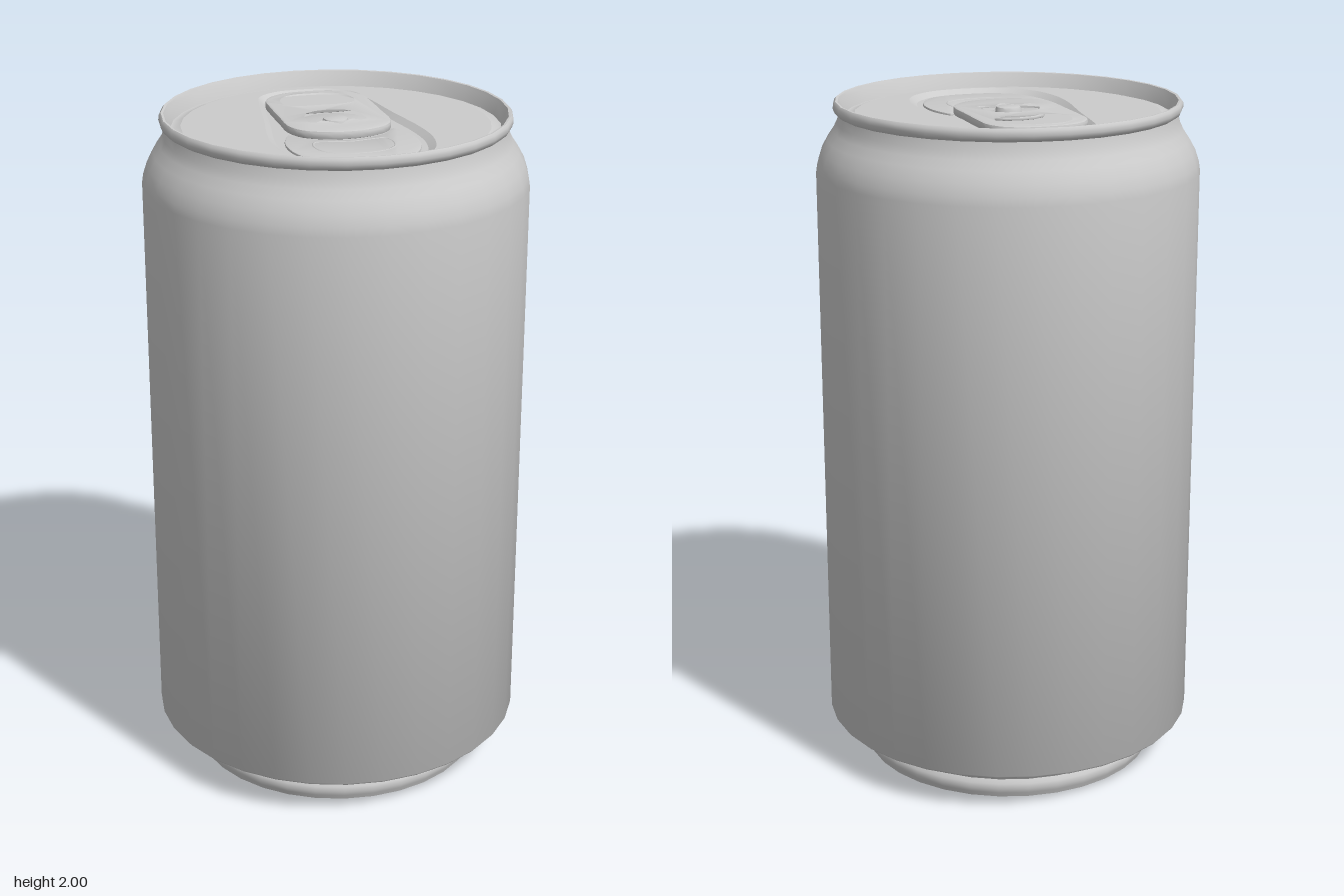
import * as THREE from 'three';
import { toCreasedNormals } from 'three/addons/utils/BufferGeometryUtils.js';

const SEGMENTS = 32;
const LID = 1.962, FLOOR = 1.948;
const material = new THREE.MeshStandardMaterial({ color: 0xcccccc });
const v2 = ([x, y]) => new THREE.Vector2(x, y);

// Mirrors half an outline (x, z), listed from back to front, into a closed loop.
const mirrored = (half) => [
  ...half,
  ...half.slice().reverse().filter(([x]) => x > 0).map(([x, z]) => [-x, z]),
];

// Smooth closed loop through a mirrored half outline, in (x, z).
function loop(half, count = 64) {
  const points = mirrored(half).map(([x, z]) => new THREE.Vector3(x, 0, z));
  const curve = new THREE.CatmullRomCurve3(points, true, 'centripetal');
  return curve.getPoints(count).slice(0, -1).map((p) => [p.x, p.z]);
}

// Shapes are drawn with -z as their y, then laid flat.
const flatPoints = (points) => points.map(([x, z]) => new THREE.Vector2(x, -z));
function shapeOf(outline, holes = []) {
  const shape = new THREE.Shape(flatPoints(outline));
  shape.holes = holes.map((h) => new THREE.Path(flatPoints(h)));
  return shape;
}

function flat(outline, y, holes) {
  return new THREE.ShapeGeometry(shapeOf(outline, holes)).rotateX(-Math.PI / 2).translate(0, y, 0);
}

function plate(outline, y, height, bevel, holes) {
  const geometry = new THREE.ExtrudeGeometry(shapeOf(outline, holes), {
    depth: height - 2 * bevel, bevelThickness: bevel, bevelSize: bevel,
    bevelOffset: -bevel, bevelSegments: 2,
  });
  geometry.rotateX(-Math.PI / 2).translate(0, y + bevel, 0);
  return toCreasedNormals(geometry, 0.6);
}

// Low raised line following a closed outline.
function bead(outline, y, radius) {
  const points = outline.map(([x, z]) => new THREE.Vector3(x, 0, z));
  const curve = new THREE.CatmullRomCurve3(points, true);
  return new THREE.TubeGeometry(curve, 72, radius, 6, true).scale(1, 0.6, 1).translate(0, y, 0);
}

// Sloping wall from an upper outline down to a smaller lower one.
function slope(upper, yUpper, lower, yLower) {
  const positions = [], index = [], n = upper.length;
  for (let i = 0; i < n; i++) {
    positions.push(upper[i][0], yUpper, upper[i][1], lower[i][0], yLower, lower[i][1]);
    const a = 2 * i, b = 2 * ((i + 1) % n);
    index.push(a, a + 1, b, b, a + 1, b + 1);
  }
  const geometry = new THREE.BufferGeometry();
  geometry.setAttribute('position', new THREE.Float32BufferAttribute(positions, 3));
  geometry.setIndex(index);
  geometry.computeVertexNormals();
  return geometry;
}

export function createModel() {
  const group = new THREE.Group();
  const add = (name, geometry) => {
    const mesh = new THREE.Mesh(geometry, material);
    mesh.name = name;
    group.add(mesh);
  };

  // Body: flat base, foot, straight wall, shoulder, rolled rim and inner wall
  const profile = [
    [0, 0], [0.44, 0], [0.446, 0.015], [0.452, 0.03], [0.449, 0.045], [0.441, 0.057],
    [0.447, 0.068], [0.47, 0.085], [0.505, 0.102], [0.546, 0.117], [0.553, 0.125],
    [0.553, 1.8], [0.549, 1.825], [0.538, 1.858], [0.52, 1.89], [0.503, 1.915],
    [0.492, 1.938], [0.487, 1.962], [0.496, 1.968], [0.501, 1.98], [0.5, 1.993],
    [0.494, 2], [0.487, 1.999], [0.482, 1.99], [0.469, 1.955], [0.46, 1.954], [0.44, LID],
  ];
  add('body', toCreasedNormals(new THREE.LatheGeometry(profile.map(v2), SEGMENTS), 0.8));

  // Lid with a teardrop recess
  const recessHalf = [[0, -0.41], [0.08, -0.4], [0.14, -0.355], [0.162, -0.27], [0.19, -0.08],
    [0.22, 0.1], [0.222, 0.22], [0.19, 0.33], [0.11, 0.405], [0, 0.425]];
  const recess = loop(recessHalf);
  const recessFloor = recess.map(([x, z]) => [x * 0.91, z * 0.955]);
  const circle = Array.from({ length: SEGMENTS }, (_, i) => {
    const a = (i / SEGMENTS) * Math.PI * 2;
    return [0.44 * Math.sin(a), 0.44 * Math.cos(a)];
  });
  add('lid', flat(circle, LID, [recess]));
  add('recessWall', slope(recess, LID, recessFloor, FLOOR));
  add('recessFloor', flat(recessFloor, FLOOR));

  // Pour opening panel and its pressed outlines
  const mouth = loop([[0, 0.15], [0.06, 0.138], [0.115, 0.105], [0.15, 0.06], [0.175, 0.11],
    [0.186, 0.18], [0.175, 0.26], [0.135, 0.33], [0.07, 0.367], [0, 0.375]]);
  add('mouthPanel', plate(mouth, FLOOR - 0.004, 0.01, 0.003));
  const mouthBead = loop([[0, 0.168], [0.06, 0.158], [0.1, 0.155], [0.113, 0.195],
    [0.1, 0.25], [0.06, 0.28], [0, 0.29]]);
  add('mouthBead', bead(mouthBead, FLOOR + 0.005, 0.004));

  // Pull tab with finger hole and rivet cutout
  const tab = loop([[0, -0.336], [0.065, -0.33], [0.12, -0.3], [0.148, -0.25], [0.152, -0.19],
    [0.152, -0.06], [0.15, 0.04], [0.125, 0.095], [0.07, 0.13], [0, 0.142]]);
  const fingerHole = loop([[0, -0.308], [0.06, -0.303], [0.1, -0.27], [0.115, -0.22],
    [0.105, -0.175], [0.07, -0.157], [0, -0.155]], 40);
  const cutout = mirrored([[0, -0.108], [0.04, -0.102], [0.072, -0.08], [0.088, -0.045],
    [0.092, 0.02], [0.08, 0.034], [0.06, 0.034], [0.045, 0.02], [0.035, 0.025], [0, 0.07]]);
  add('pullTab', plate(tab, FLOOR + 0.004, 0.024, 0.006, [fingerHole, cutout]));
  add('tabTongue', plate(cutout.map(([x, z]) => [x * 1.08, z * 1.08]), FLOOR + 0.006, 0.008, 0.002));

  // Rivet
  const rivet = [[0.04, FLOOR], [0.037, 1.97], [0.034, 1.976], [0.027, 1.978], [0, 1.978]];
  add('rivet', toCreasedNormals(
    new THREE.LatheGeometry(rivet.map(v2), 20).translate(0, 0, -0.005), 0.7));

  return group;
}
